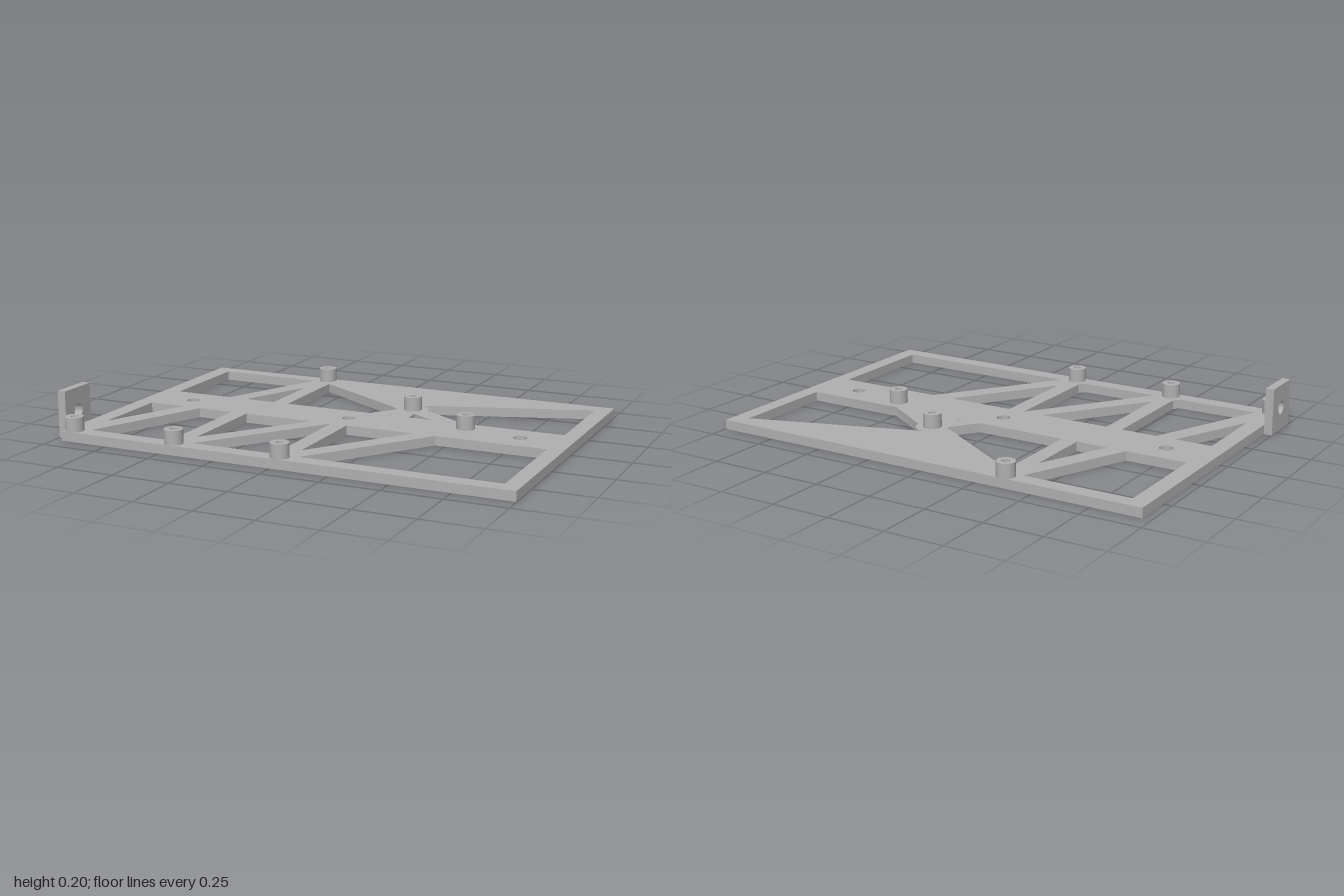
import * as THREE from 'three';
import { toCreasedNormals } from 'three/addons/utils/BufferGeometryUtils.js';

const THICK = 0.04;
const TOP = 0.1;
const rad = THREE.MathUtils.degToRad;

const polygon = (points) => new THREE.Shape(points.map(([x, z]) => new THREE.Vector2(x, z)));
const circle = (x, y, r) => new THREE.Shape().absarc(x, y, r, 0, Math.PI * 2, false);

// Extrude a shape with cut-outs, keeping round walls smooth and edges sharp
function extrude(shape, holes, depth) {
  shape.holes.push(...holes);
  const geometry = new THREE.ExtrudeGeometry(shape, { depth, bevelEnabled: false, curveSegments: 24 });
  return toCreasedNormals(geometry, 0.6);
}

// Lay an (x, z) outline flat between two heights
const slab = (shape, holes, y0, y1) =>
  extrude(shape, holes, y1 - y0).rotateX(Math.PI / 2).translate(0, y1, 0);

export function createModel() {
  const group = new THREE.Group();
  const grey = new THREE.MeshStandardMaterial({ color: 0xb0b0b0 });
  grey.name = 'grey plastic';

  const add = (name, geometry) => {
    const mesh = new THREE.Mesh(geometry, grey);
    mesh.name = name;
    group.add(mesh);
  };

  // Windows between the rim, the centre band and the struts
  const B = -0.145, F = 0.09, E = 0.6;
  const windows = [
    [[-0.89, -E], [-0.425, -E], [-0.628, B], [-0.89, B]],
    [[-0.543, B], [-0.404, -0.452], [-0.404, B]],
    [[-0.334, B], [-0.334, -0.57], [0.136, -0.272], [0.142, -0.254], [0.06, B]],
    [[0.243, -0.21], [0.35, B], [0.243, B]],
    [[-0.89, F], [-0.73, F], [-0.89, 0.445]],
    [[-0.645, F], [-0.487, F], [-0.487, 0.575], [-0.51, E], [-0.863, E]],
    [[-0.415, F], [-0.107, F], [-0.415, 0.51]],
    [[-0.013, F], [-0.013, 0.575], [-0.035, E], [-0.382, E]],
    [[0.06, F], [0.36, F], [0.06, 0.51]],
    [[0.457, F], [0.93, F], [0.93, E], [0.095, E]],
  ].map(polygon);

  // Large rear window, with the round boss bulging into it
  const rearWindow = new THREE.Shape();
  rearWindow.moveTo(-0.227, -E);
  rearWindow.absarc(0.206, -0.283, 0.07, rad(-113), rad(-2), false);
  rearWindow.lineTo(0.49, B);
  rearWindow.lineTo(0.93, B);
  rearWindow.lineTo(0.93, -E);
  rearWindow.closePath();

  // Screw holes in the centre band and one pinhole
  const screwHoles = [-0.746, 0.017, 0.78].map((x) => circle(x, -0.027, 0.029));
  const pinhole = circle(0.158, -0.152, 0.007);

  // Base plate
  const outline = polygon([[-0.963, -0.668], [0.998, -0.668], [0.998, 0.67], [-0.963, 0.67]]);
  add('basePlate', slab(outline, [...windows, rearWindow, ...screwHoles, pinhole], 0, THICK));

  // Hollow standoffs
  const standoffs = [
    [-0.923, 0.632], [-0.449, 0.632], [0.027, 0.633],
    [-0.371, -0.635], [0.206, -0.283], [0.527, -0.075],
  ];
  for (const [x, z] of standoffs) {
    add('standoff', slab(circle(x, z, 0.039), [circle(x, z, 0.016)], THICK, TOP));
  }

  // Upright mounting tab with its hole, on the right edge
  const tab = polygon([[-0.633, 0], [-0.455, 0], [-0.455, 0.2], [-0.633, 0.2]]);
  const tabGeometry = extrude(tab, [circle(-0.543, 0.1, 0.029)], 0.036);
  add('mountingTab', tabGeometry.rotateY(Math.PI / 2).translate(-1, 0, 0));

  return group;
}
